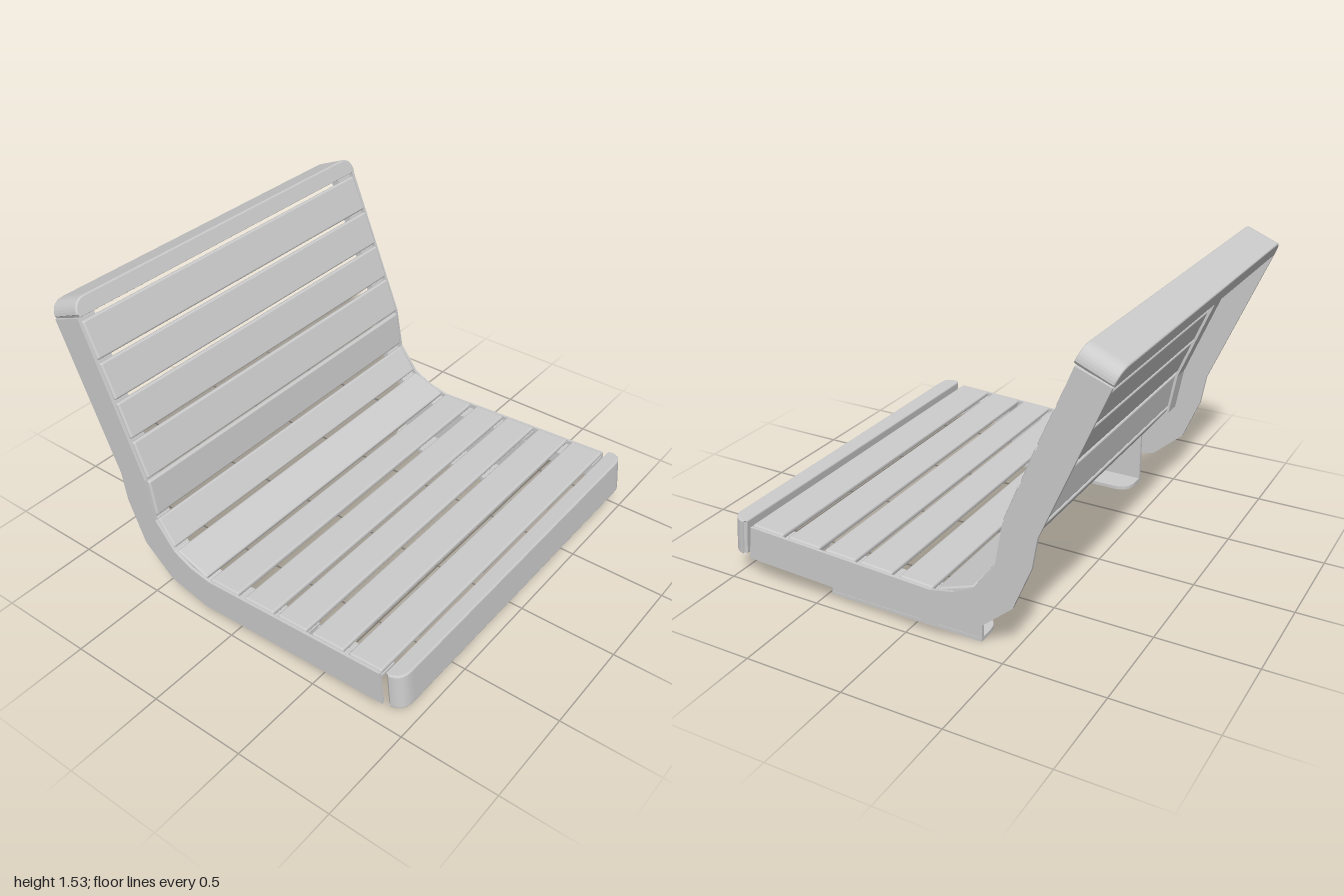
import * as THREE from 'three';
import { RoundedBoxGeometry } from 'three/addons/geometries/RoundedBoxGeometry.js';

const material = new THREE.MeshStandardMaterial({ color: 0xcccccc });

// Upper and lower edges of the side plates as [z, y], front to top of back
const upperEdge = [[0.87, 0.303], [-0.13, 0.26], [-0.25, 0.285], [-0.35, 0.335],
  [-0.458, 0.47], [-0.497, 0.69], [-0.81, 1.45]];
const lowerEdge = [[0.89, 0.13], [-0.16, 0.09], [-0.38, 0.145], [-0.545, 0.29],
  [-0.635, 0.51], [-0.66, 0.66], [-0.97, 1.39]];

// Top surface of each slat: [z0, y0, z1, y1]
const seatY = z => 0.267 + 0.044 * (z + 0.13);
const slats = [
  ...[[0.87, 0.69], [0.66, 0.48], [0.45, 0.28], [0.255, 0.08], [0.04, -0.135]]
    .map(([a, b]) => [a, seatY(a), b, seatY(b)]),
  [-0.155, 0.268, -0.345, 0.335], [-0.355, 0.345, -0.45, 0.475],
  [-0.455, 0.49, -0.485, 0.68], [-0.487, 0.695, -0.56, 0.875],
  [-0.567, 0.89, -0.635, 1.06], [-0.642, 1.075, -0.715, 1.245],
  [-0.722, 1.26, -0.798, 1.435],
];

function addMesh(parent, geometry, name) {
  const mesh = new THREE.Mesh(geometry, material);
  mesh.name = name;
  parent.add(mesh);
  return mesh;
}

// Extrudes a [z, y] outline across x from x0 to x1
function acrossX(points, x0, x1) {
  const shape = new THREE.Shape(points.map(p => new THREE.Vector2(...p)));
  const geometry = new THREE.ExtrudeGeometry(shape, { depth: x1 - x0, bevelEnabled: false });
  return geometry.rotateY(-Math.PI / 2).translate(x1, 0, 0);
}

// Shifts a path inward, away from the sitter
function offset(path, distance) {
  return path.map(([z, y], i) => {
    const a = path[Math.max(i - 1, 0)], b = path[Math.min(i + 1, path.length - 1)];
    const dz = b[0] - a[0], dy = b[1] - a[1], len = Math.hypot(dz, dy);
    return [z - dy / len * distance, y + dz / len * distance];
  });
}

function flange(path) {
  return acrossX([...offset(path, 0.024), ...offset(path, 0.038).reverse()], 0.88, 0.98);
}

// End rail with rounded outer corners, lying along x with its outer side towards local +y
function railGeometry(depth) {
  const w = 0.985, h = 0.078, r = 0.075, b = 0.008;
  const shape = new THREE.Shape();
  shape.moveTo(-w, b);
  shape.lineTo(w, b);
  shape.lineTo(w, h - r);
  shape.quadraticCurveTo(w, h, w - r, h);
  shape.lineTo(-w + r, h);
  shape.quadraticCurveTo(-w, h, -w, h - r);
  shape.closePath();
  return new THREE.ExtrudeGeometry(shape, {
    depth: depth - 2 * b, bevelSize: b, bevelThickness: b, bevelSegments: 3, curveSegments: 10,
  }).translate(0, 0, b - depth / 2);
}

// Horizontal foot with rounded inner corners, seen in [x, z]
function footGeometry() {
  const outer = 0.9, inner = 0.73, front = 0.48, back = -0.34, r = 0.1;
  const shape = new THREE.Shape();
  shape.moveTo(outer, -front);
  shape.lineTo(outer, -back);
  shape.lineTo(inner + r, -back);
  shape.quadraticCurveTo(inner, -back, inner, -back - r);
  shape.lineTo(inner, -front + r);
  shape.quadraticCurveTo(inner, -front, inner + r, -front);
  shape.closePath();
  return new THREE.ExtrudeGeometry(shape, { depth: 0.018, bevelEnabled: false, curveSegments: 8 })
    .rotateX(-Math.PI / 2);
}

function createSide(side) {
  const group = new THREE.Group();
  group.name = side > 0 ? 'leftSide' : 'rightSide';
  const parts = {
    sidePlate: acrossX([...upperEdge, ...[...lowerEdge].reverse()], 0.978, 0.993),
    frontFlange: flange([[0.87, 0.303], [0.49, 0.287]]),
    slatFlange: flange([[0.45, 0.285], ...upperEdge.slice(1)]),
    bracketWeb: acrossX([[0.48, 0], [0.48, 0.25], [-0.13, 0.225], [-0.34, 0.29], [-0.34, 0]], 0.88, 0.898),
    foot: footGeometry(),
  };
  for (const [name, geometry] of Object.entries(parts)) addMesh(group, geometry, name);
  group.scale.x = side;
  return group;
}

export function createModel() {
  const model = new THREE.Group();
  model.name = 'slattedSeat';

  // Mirrored side frames with mounting feet
  for (const side of [1, -1]) model.add(createSide(side));

  // Slats of the seat and the back
  const thickness = 0.028;
  slats.forEach(([z0, y0, z1, y1], i) => {
    const length = Math.hypot(z1 - z0, y1 - y0);
    const nz = (y1 - y0) / length, ny = (z0 - z1) / length;
    const slat = addMesh(model, new RoundedBoxGeometry(1.954, thickness, length, 3, 0.011),
      i < 6 ? 'seatSlat' : 'backSlat');
    slat.position.set(0, (y0 + y1) / 2 - ny * thickness / 2, (z0 + z1) / 2 - nz * thickness / 2);
    slat.rotation.x = Math.atan2(nz, ny);
  });

  // Rails closing the front of the seat and the top of the back
  const frontRail = addMesh(model, railGeometry(0.187), 'frontRail');
  frontRail.position.set(0, 0.231, 0.908);
  frontRail.rotation.x = 1.48;
  const topRail = addMesh(model, railGeometry(0.182), 'topRail');
  topRail.position.set(0, 1.42, -0.885);
  topRail.rotation.x = -0.4;

  return model;
}
